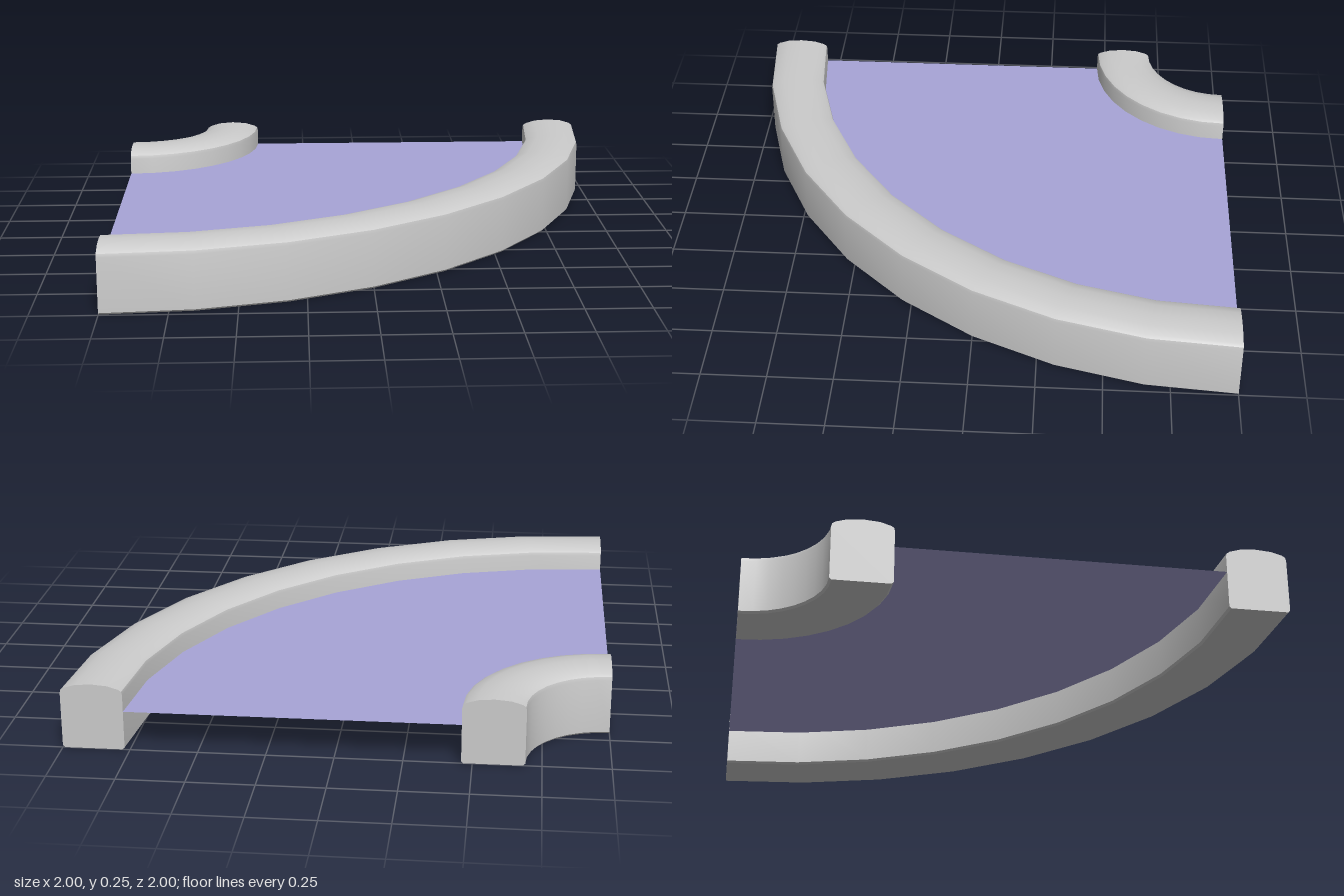
import * as THREE from 'three';
import { toCreasedNormals } from 'three/addons/utils/BufferGeometryUtils.js';

const SEGMENTS = 9; // 10 degrees per step
const WIDTH = 0.23, HEIGHT = 0.253, FLOOR_Y = 0.15;
const INNER_R = 0.31, OUTER_R = 1.77; // inside radius of each kerb

// Kerb cross-section: counter-clockwise, tiny bottom bevel and domed top
function kerbProfile(radius) {
  const half = [[0.107, 0], [0.115, 0.008], [0.115, 0.215], [0.112, 0.228], [0.1, 0.236], [0.06, 0.248]];
  const mid = radius + WIDTH / 2;
  const right = half.map(([x, y]) => new THREE.Vector2(mid + x, y));
  const left = half.map(([x, y]) => new THREE.Vector2(mid - x, y)).reverse();
  return [...right, new THREE.Vector2(mid, HEIGHT), ...left];
}

// Quarter-circle kerb swept from +z to +x, closed by two flat ends
function makeKerb(name, radius, material) {
  const kerb = new THREE.Group();
  kerb.name = name;
  const profile = kerbProfile(radius);

  const sweep = new THREE.LatheGeometry([...profile, profile[0].clone()], SEGMENTS, 0, Math.PI / 2);
  const body = new THREE.Mesh(toCreasedNormals(sweep, 0.75), material);
  body.name = name + 'Body';

  const leftEnd = new THREE.Mesh(new THREE.ShapeGeometry(new THREE.Shape(profile)), material);
  leftEnd.rotation.y = -Math.PI / 2;
  leftEnd.name = name + 'SideEnd';

  const mirrored = profile.map((p) => new THREE.Vector2(-p.x, p.y));
  const backEnd = new THREE.Mesh(new THREE.ShapeGeometry(new THREE.Shape(mirrored)), material);
  backEnd.rotation.y = Math.PI;
  backEnd.name = name + 'BackEnd';

  kerb.add(body, leftEnd, backEnd);
  return kerb;
}

export function createModel() {
  const model = new THREE.Group();
  model.name = 'curvedTrackCorner';
  const grey = new THREE.MeshStandardMaterial({ color: 0xcccccc });
  const violet = new THREE.MeshStandardMaterial({ color: 0xa8a5d8, side: THREE.DoubleSide });

  // Both kerbs and the floor share one centre at the back corner
  const corner = new THREE.Group();
  corner.name = 'corner';
  corner.position.set(-1, 0, -1);
  corner.add(makeKerb('innerKerb', INNER_R, grey), makeKerb('outerKerb', OUTER_R, grey));

  // Thin floor sheet between the kerbs
  const sheet = new THREE.RingGeometry(INNER_R + WIDTH, OUTER_R, SEGMENTS, 1, -Math.PI / 2, Math.PI / 2);
  sheet.rotateX(-Math.PI / 2);
  const floor = new THREE.Mesh(sheet, violet);
  floor.position.y = FLOOR_Y;
  floor.name = 'floor';
  corner.add(floor);

  model.add(corner);
  return model;
}
